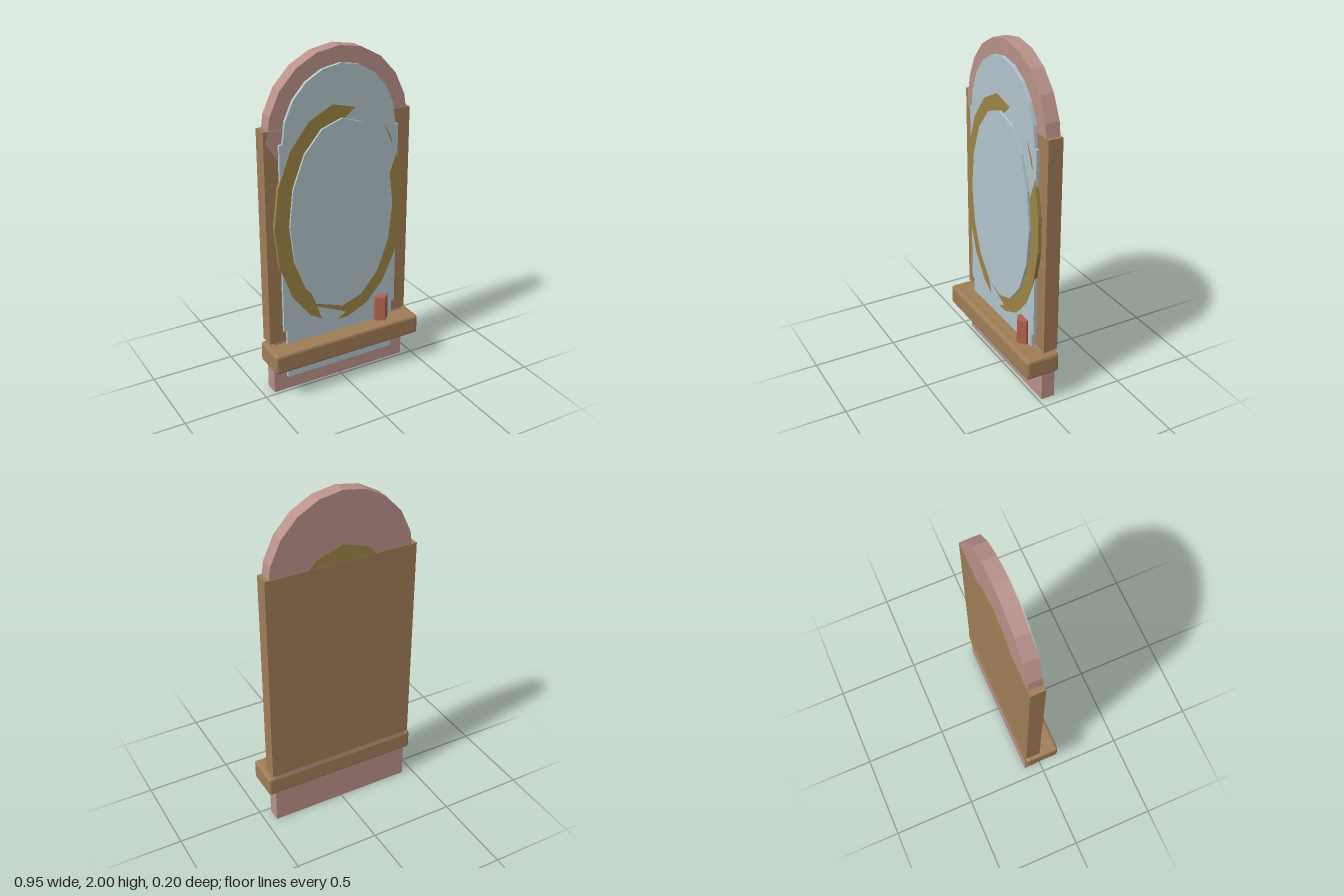
import * as THREE from 'three';
import { RoundedBoxGeometry } from 'three/addons/geometries/RoundedBoxGeometry.js';

const paint = (name, color) => new THREE.MeshStandardMaterial({ name, color, flatShading: true });

export function createModel() {
  const pink = paint('dusty pink', 0xba918a);
  const wood = paint('brown wood', 0xa07d56);
  const gold = paint('old gold', 0x9c8446);
  const glass = paint('pale blue glass', 0xb3c4cb);
  const red = paint('brick red', 0xb0604c);

  const group = new THREE.Group();
  const add = (name, geometry, material, x = 0, y = 0, z = 0) => {
    const mesh = new THREE.Mesh(geometry, material);
    mesh.name = name;
    mesh.position.set(x, y, z);
    group.add(mesh);
    return mesh;
  };
  // Flat outline given as points, extruded from z0 to z1
  const slab = (name, points, z0, z1, material) => {
    const shape = new THREE.Shape(points.map(([x, y]) => new THREE.Vector2(x, y)));
    return add(name, new THREE.ExtrudeGeometry(shape, { depth: z1 - z0, bevelEnabled: false }), material, 0, 0, z0);
  };
  const block = (name, x0, x1, y0, y1, z0, z1, material) =>
    add(name, new THREE.BoxGeometry(x1 - x0, y1 - y0, z1 - z0), material, (x0 + x1) / 2, (y0 + y1) / 2, (z0 + z1) / 2);
  // Points on an ellipse between two angles in degrees
  const arc = (cx, cy, rx, ry, from, to, steps) =>
    Array.from({ length: steps + 1 }, (_, i) => {
      const t = THREE.MathUtils.degToRad(from + ((to - from) * i) / steps);
      return [cx + rx * Math.cos(t), cy + ry * Math.sin(t)];
    });
  const ellipse = (cx, cy, rx, ry, sides) => arc(cx, cy, rx, ry, 0, 360, sides).slice(0, sides);
  const arch = (x0, x1, y0, spring, top) => [
    [x0, y0], [x1, y0],
    ...arc((x0 + x1) / 2, spring, (x1 - x0) / 2, top - spring, 0, 180, 10),
  ];

  // Arched body and wooden casing
  slab('archedFrame', arch(-0.435, 0.435, 0, 1.53, 2), -0.102, -0.02, pink);
  block('backCasing', -0.455, 0.45, 0.33, 1.6, -0.105, -0.018, wood);
  slab('frameCorner', [[-0.44, 1.53], [-0.375, 1.43], [-0.33, 1.6], [-0.425, 1.6]], -0.02, -0.0165, pink);

  // Pale panel with a wider middle
  slab('archedPanel', arch(-0.353, 0.347, 0.09, 1.52, 1.91), -0.02, 0, glass);
  block('panelMiddle', -0.373, 0.365, 0.4, 1.52, -0.019, 0, glass);

  // Oval disc running through the body, with two broken ring pieces in front
  slab('ovalBacking', ellipse(-0.005, 1.04, 0.405, 0.66, 16), -0.1035, -0.003, gold);
  const outer = (from, to, n) => arc(-0.005, 1.04, 0.41, 0.66, from, to, n);
  const inner = (from, to, n) => arc(0, 1.045, 0.31, 0.555, from, to, n);
  slab('ringLeft', [[0.085, 1.66], ...outer(97, 241, 7), [-0.13, 0.42], ...inner(229, 88, 7)], -0.018, 0.003, gold);
  slab('ringRight', [[-0.025, 0.385], ...outer(277, 388, 6), ...inner(376, 270, 5), [-0.22, 0.535], [0.03, 0.42]],
    -0.018, 0.003, gold);
  slab('ringSliver', [[0.275, 1.53], [0.33, 1.4], [0.315, 1.46]], -0.005, 0.003, gold);

  // Oval mirror
  slab('mirror', ellipse(0, 1.045, 0.328, 0.57, 16), -0.005, 0.016, glass);

  // Shelf with softened edges, and a small cup on it
  add('shelf', new RoundedBoxGeometry(0.95, 0.12, 0.205, 1, 0.015), wood, 0, 0.255, -0.0025);
  const cup = add('cup', new THREE.CylinderGeometry(0.046, 0.05, 0.15, 5), red, 0.265, 0.39, 0.004);
  cup.rotation.y = 0.1;

  return group;
}
